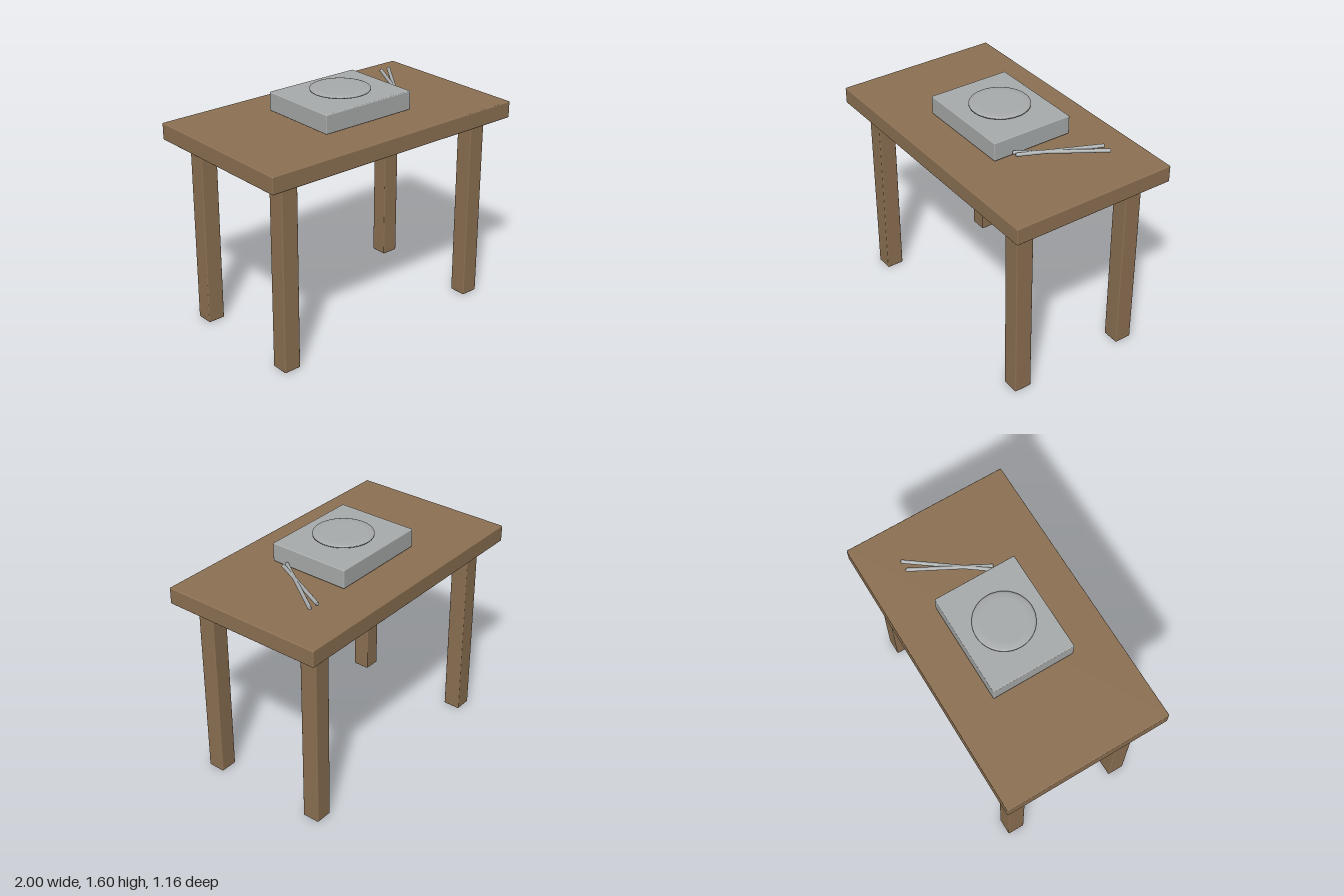
import * as THREE from 'three';
import { RoundedBoxGeometry } from 'three/addons/geometries/RoundedBoxGeometry.js';

const wood = new THREE.MeshStandardMaterial({ name: 'wood', color: 0x8d7153 });
const grey = new THREE.MeshStandardMaterial({ name: 'grey', color: 0xa9acac });

// Box with softened edges, spanning y0 to y1
function softBox(name, material, width, depth, y0, y1, x = 0, z = 0) {
  const geometry = new RoundedBoxGeometry(width, y1 - y0, depth, 2, 0.007);
  const mesh = new THREE.Mesh(geometry, material);
  mesh.name = name;
  mesh.position.set(x, (y0 + y1) / 2, z);
  return mesh;
}

// Round stick with softened ends, running from one point to another
function stick(name, from, to) {
  const radius = 0.0125;
  const bevel = 0.004;
  const axis = to.clone().sub(from);
  const h = axis.length() / 2;
  const profile = [
    [0, -h], [radius - bevel, -h], [radius, -h + bevel],
    [radius, h - bevel], [radius - bevel, h], [0, h],
  ].map(([r, y]) => new THREE.Vector2(r, y));
  const mesh = new THREE.Mesh(new THREE.LatheGeometry(profile, 20), grey);
  mesh.name = name;
  mesh.position.copy(from).add(to).multiplyScalar(0.5);
  mesh.quaternion.setFromUnitVectors(new THREE.Vector3(0, 1, 0), axis.normalize());
  return mesh;
}

export function createModel() {
  const model = new THREE.Group();
  model.name = 'tableSetting';

  // Table
  model.add(softBox('tableTop', wood, 2, 1.16, 1.31, 1.425));
  for (const x of [-0.8, 0.8]) {
    for (const z of [-0.42, 0.42]) {
      model.add(softBox('tableLeg', wood, 0.122, 0.122, 0, 1.312, x, z));
    }
  }

  // Serving box, just clear of the table top
  model.add(softBox('servingBox', grey, 0.712, 0.58, 1.437, 1.567));

  // Round plate with a sloping rim
  const rim = [
    [0, 0], [0.153, 0], [0.155, 0], [0.186, 0.002], [0.2, 0.006],
    [0.2, 0.014], [0.186, 0.018], [0.155, 0.02], [0.153, 0.02], [0, 0.02],
  ].map(([r, y]) => new THREE.Vector2(r, y));
  const plate = new THREE.Mesh(new THREE.LatheGeometry(rim, 64), grey);
  plate.name = 'plate';
  plate.position.y = 1.578;
  model.add(plate);

  // Pair of crossed chopsticks, raised at the far end
  model.add(stick('chopstickOuter',
    new THREE.Vector3(0.37, 1.466, 0.163), new THREE.Vector3(0.725, 1.486, -0.328)));
  model.add(stick('chopstickInner',
    new THREE.Vector3(0.403, 1.466, 0.165), new THREE.Vector3(0.658, 1.486, -0.33)));

  return model;
}
